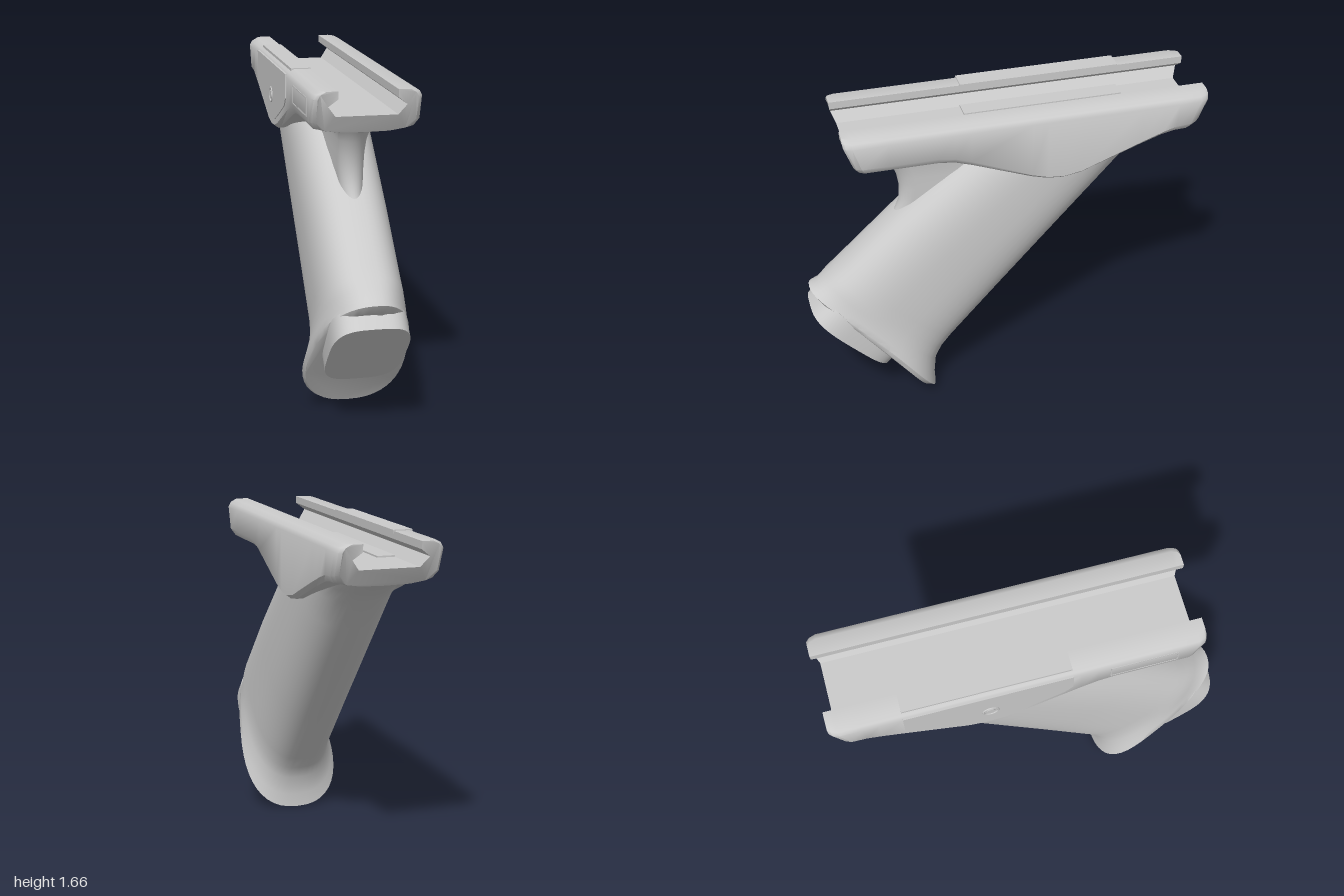
import * as THREE from 'three';
import { toCreasedNormals } from 'three/addons/utils/BufferGeometryUtils.js';

const material = new THREE.MeshStandardMaterial({ color: 0xcccccc });

// Skin a list of closed rings and cap both ends; flat names the axis dropped for the caps
function loft(rings, flat = 'z', crease = 0.7) {
  const n = rings[0].length, last = (rings.length - 1) * n, index = [];
  for (let i = 0; i < rings.length - 1; i++) {
    for (let j = 0; j < n; j++) {
      const a = i * n + j, b = i * n + (j + 1) % n;
      index.push(a, b, b + n, a, b + n, a + n);
    }
  }
  const cap = (ring) => THREE.ShapeUtils.triangulateShape(
    ring.map((p) => new THREE.Vector2(p.x, flat === 'z' ? p.y : p.z)), [])
    .map((t) => [...t].sort((a, b) => a - b));
  for (const [a, b, c] of cap(rings[0])) index.push(c, b, a);
  for (const [a, b, c] of cap(rings[rings.length - 1])) index.push(last + a, last + b, last + c);

  // Turn the faces outward
  const points = rings.flat();
  let volume = 0;
  const cross = new THREE.Vector3();
  for (let i = 0; i < index.length; i += 3) {
    const [a, b, c] = [0, 1, 2].map((k) => points[index[i + k]]);
    volume += a.dot(cross.crossVectors(b, c));
  }
  if (volume < 0) index.reverse();
  const geometry = new THREE.BufferGeometry().setFromPoints(points);
  geometry.setIndex(index);
  return toCreasedNormals(geometry, crease);
}

// Rounded section between a front and a back point, each given as [z, y]
function oval(front, back, w, n = 2.6, taper = 0, bow = 0, count = 48) {
  const ring = [];
  const power = (v) => Math.sign(v) * Math.abs(v) ** (2 / n);
  for (let i = 0; i < count; i++) {
    const a = (i / count) * Math.PI * 2;
    const t = power(Math.cos(a)), lift = bow * (1 - t * t);
    ring.push(new THREE.Vector3(
      power(Math.sin(a)) * (w - taper * t),
      (front[1] + back[1]) / 2 + t * (front[1] - back[1]) / 2 + lift,
      (front[0] + back[0]) / 2 + t * (front[0] - back[0]) / 2 - lift));
  }
  return ring;
}

// One channel section of the rail: z, bottom height, edge height, half width, end slope
function railRing([z, bottom, edge, w, slope]) {
  const half = [
    [0.12, bottom + 0.003], [0.19, bottom + 0.015], [w - 0.022, bottom + (edge - bottom) * 0.45],
    [w, edge], [w, 1.615], [w - 0.012, 1.637], [w - 0.04, 1.652], [0.14, 1.652],
    [0.14, 1.615], [0.185, 1.58], [0.147, 1.53],
  ];
  const outline = [[0, bottom], ...half, ...half.map(([x, y]) => [-x, y]).reverse()];
  return outline.map(([x, y]) => new THREE.Vector3(
    x, y, z - slope * Math.max(0, (1.63 - y) / 0.19) ** 1.4));
}

function extrudeSide(points, depth, hole) {
  const toPoints = (list) => list.map(([z, y]) => new THREE.Vector2(z, y));
  const shape = new THREE.Shape(toPoints(points));
  if (hole) shape.holes.push(new THREE.Path(toPoints(hole)));
  return new THREE.ExtrudeGeometry(shape, { depth, bevelEnabled: false }).rotateY(-Math.PI / 2);
}

export function createModel() {
  const model = new THREE.Group();
  const add = (name, geometry, x = 0, y = 0, z = 0) => {
    const mesh = new THREE.Mesh(geometry, material);
    mesh.name = name;
    mesh.position.set(x, y, z);
    model.add(mesh);
    return mesh;
  };
  const box = (name, x0, x1, y0, y1, z0, z1) => add(name,
    new THREE.BoxGeometry(x1 - x0, y1 - y0, z1 - z0), (x0 + x1) / 2, (y0 + y1) / 2, (z0 + z1) / 2);

  // Channel rail whose sides dip into a skirt over the grip
  add('rail', loft([
    [0.81, 1.445, 1.505, 0.235, 0.08],
    [0.80, 1.442, 1.502, 0.25, 0.08],
    [0.77, 1.44, 1.50, 0.26, 0.07],
    [0.60, 1.44, 1.50, 0.26, 0],
    [0.36, 1.44, 1.50, 0.26, 0],
    [0.28, 1.433, 1.488, 0.26, 0],
    [0.20, 1.408, 1.46, 0.26, 0],
    [-0.10, 1.302, 1.335, 0.26, 0],
    [-0.18, 1.28, 1.312, 0.26, 0],
    [-0.26, 1.273, 1.305, 0.26, 0],
    [-0.35, 1.285, 1.32, 0.26, 0],
    [-0.65, 1.395, 1.435, 0.26, 0],
    [-0.76, 1.432, 1.475, 0.26, 0],
    [-0.84, 1.44, 1.495, 0.26, -0.02],
    [-0.95, 1.44, 1.50, 0.26, -0.08],
    [-0.98, 1.442, 1.505, 0.25, -0.09],
    [-0.995, 1.445, 1.51, 0.235, -0.09],
  ].map(railRing)));

  // Slanted hollow-looking handle with a flared rear lip at the bottom
  add('grip', loft([
    oval([0.97, 0.65], [0.41, 0.01], 0.235, 2.4, 0.055, 0.035),
    oval([0.995, 0.69], [0.37, 0.0], 0.245, 2.4, 0.06, 0.04),
    oval([0.955, 0.705], [0.372, 0.07], 0.236, 2.4, 0.045, 0.03),
    oval([0.91, 0.745], [0.36, 0.17], 0.222, 2.5, 0.02, 0.015),
    oval([0.86, 0.785], [0.325, 0.235], 0.214, 2.6, 0.005, 0.005),
    oval([0.81, 0.83], [0.27, 0.30], 0.21),
    oval([0.53, 1.09], [0.0, 0.60], 0.21),
    oval([0.17, 1.39], [-0.32, 0.955], 0.21),
    oval([0.05, 1.48], [-0.52, 1.175], 0.21),
    oval([0.0, 1.49], [-0.65, 1.32], 0.21),
    oval([-0.05, 1.50], [-0.74, 1.385], 0.205),
    oval([-0.10, 1.51], [-0.86, 1.445], 0.20),
  ]));

  // Plug in the bottom opening
  add('bottomPlug', loft([
    oval([1.0, 0.58], [0.62, 0.20], 0.19, 3.4),
    oval([0.92, 0.66], [0.54, 0.28], 0.19, 3.4),
  ]));

  // Curved web joining the front of the grip to the rail: y, front z, half width
  const web = [
    [1.03, 0.57, 0.045], [1.08, 0.54, 0.052], [1.14, 0.515, 0.06], [1.22, 0.51, 0.064],
    [1.29, 0.522, 0.066], [1.36, 0.548, 0.07], [1.41, 0.578, 0.08], [1.45, 0.61, 0.10],
  ].map(([y, front, w]) => {
    const ring = [new THREE.Vector3(0.1, y, 0.06)];
    for (let i = 0; i <= 14; i++) {
      const a = (i / 14) * Math.PI;
      ring.push(new THREE.Vector3(w * Math.cos(a), y, front - 0.08 + 0.08 * Math.sin(a)));
    }
    ring.push(new THREE.Vector3(-0.1, y, 0.06));
    return ring;
  });
  add('frontWeb', loft(web, 'y'));

  // Latch on the right: side panel, lip cover, floor strip and button
  add('latchPanel', extrudeSide([
    [-0.65, 1.63], [-0.65, 1.49], [-0.62, 1.465], [-0.36, 1.355], [-0.26, 1.335], [-0.16, 1.345],
    [-0.08, 1.375], [0.12, 1.465], [0.16, 1.51], [0.16, 1.63],
  ], 0.01), -0.255);
  box('latchLipCover', -0.235, -0.138, 1.64, 1.657, -0.65, 0.16);
  box('latchFloorStrip', -0.15, -0.06, 1.52, 1.538, -0.65, 0.16);
  const button = add('latchButton', new THREE.CylinderGeometry(0.022, 0.022, 0.012, 20), -0.263, 1.46, -0.24);
  button.rotation.z = Math.PI / 2;
  const ring = add('latchButtonRing', new THREE.TorusGeometry(0.036, 0.006, 8, 24), -0.264, 1.46, -0.24);
  ring.rotation.y = Math.PI / 2;

  // Thin rectangular frame on the side of the rail
  const rectangle = (z0, z1, y0, y1) => [[z0, y0], [z1, y0], [z1, y1], [z0, y1]];
  add('sideFrame', extrudeSide(rectangle(0.34, 0.67, 1.515, 1.605), 0.007,
    rectangle(0.346, 0.664, 1.521, 1.599)), -0.255);

  return model;
}
